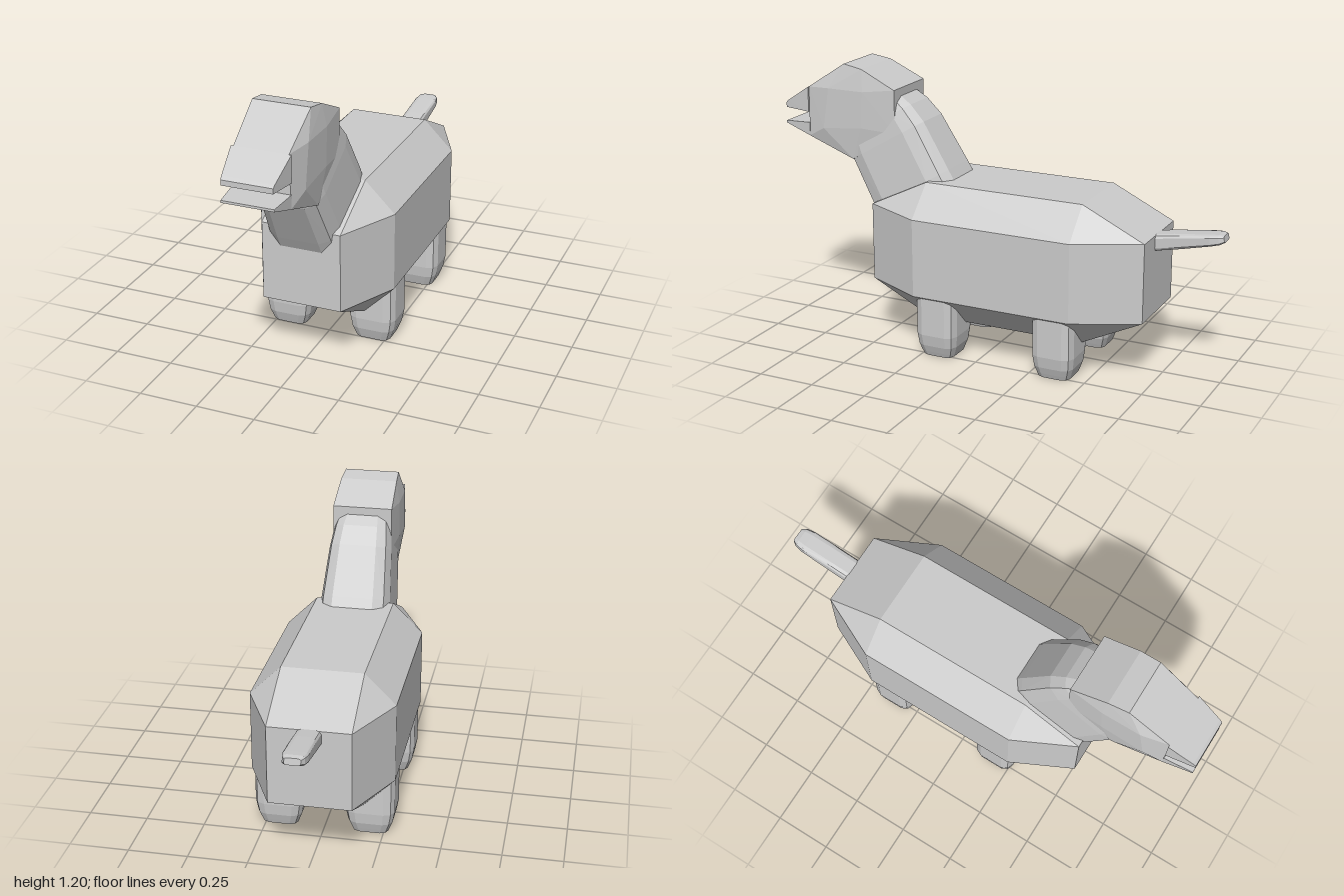
import * as THREE from 'three';
import { ConvexGeometry } from 'three/addons/geometries/ConvexGeometry.js';

const material = new THREE.MeshStandardMaterial({ color: 0xcccccc, flatShading: true });

// Faceted solid around a set of points
function solid(name, points) {
  const mesh = new THREE.Mesh(new ConvexGeometry(points), material);
  mesh.name = name;
  return mesh;
}

// Rounded-square column along y; rings are [y, half width, half depth]
function column(name, rings) {
  const corner = [[1, 0.58], [0.87, 0.87], [0.58, 1]];
  const points = [];
  for (const [y, hx, hz] of rings)
    for (const [cx, cz] of corner)
      for (const sx of [-1, 1])
        for (const sz of [-1, 1])
          points.push(new THREE.Vector3(sx * cx * hx, y, sz * cz * hz));
  return solid(name, points);
}

// Left-right symmetric solid from side points [half width, y, z]
function mirrored(name, side) {
  return solid(name, side.flatMap(([x, y, z]) =>
    [new THREE.Vector3(x, y, z), new THREE.Vector3(-x, y, z)]));
}

export function createModel() {
  const model = new THREE.Group();
  model.name = 'dog';

  // Body: a box with wide chamfers on every edge
  const bodySide = [];
  for (const [z, zEnd] of [[0.27, 0.535], [-0.445, -0.715]]) {
    for (const [y, yOuter] of [[0.61, 0.74], [0.27, 0.14]]) {
      bodySide.push([0.17, yOuter, z], [0.3, y, z], [0.17, y, zEnd]);
    }
  }
  model.add(mirrored('body', bodySide));

  // Four stubby legs
  for (const [end, z] of [['front', 0.18], ['back', -0.36]]) {
    for (const [side, x] of [['Left', 0.192], ['Right', -0.192]]) {
      const leg = column(end + side + 'Leg', [
        [0, 0.075, 0.07], [0.02, 0.083, 0.077], [0.05, 0.094, 0.087],
        [0.1, 0.103, 0.093], [0.36, 0.103, 0.093],
      ]);
      leg.position.set(x, 0, z);
      model.add(leg);
    }
  }

  // Neck leaning forward out of the body
  const neck = column('neck', [
    [-0.38, 0.11, 0.15], [-0.28, 0.153, 0.21], [-0.08, 0.153, 0.208],
    [0.15, 0.138, 0.202], [0.24, 0.128, 0.18], [0.3, 0.115, 0.15],
  ]);
  neck.position.set(0, 0.745, 0.425);
  neck.rotation.x = 0.53;
  model.add(neck);

  // Head: skull, upper snout and lower jaw with an open mouth between
  const head = new THREE.Group();
  head.name = 'head';
  head.add(mirrored('skull', [
    [0.13, 1.11, 0.44], [0.125, 1.185, 0.6], [0.12, 1.2, 0.69],
    [0.112, 1.081, 0.875], [0.118, 0.863, 0.875], [0.128, 0.785, 0.65],
    [0.13, 0.92, 0.44],
    [0.141, 1.09, 0.59], [0.14, 1.09, 0.76], [0.139, 0.91, 0.79], [0.141, 0.93, 0.6],
  ]));
  head.add(mirrored('upperSnout', [
    [0.13, 1.081, 0.875], [0.13, 0.97, 0.875], [0.112, 1.081, 0.875],
    [0.107, 1.008, 0.988], [0.105, 0.997, 1], [0.105, 0.975, 1],
  ].map(([x, y, z]) => [Math.min(x, 0.122), y, z])));
  head.add(mirrored('lowerJaw', [
    [0.12, 0.922, 0.872], [0.118, 0.863, 0.875],
    [0.108, 0.915, 1], [0.108, 0.905, 1],
  ]));
  model.add(head);

  // Tail: a thin rounded stick rising backwards
  const tail = column('tail', [
    [0, 0.05, 0.038], [0.2, 0.05, 0.033], [0.35, 0.05, 0.024],
    [0.385, 0.044, 0.021], [0.405, 0.032, 0.014],
  ]);
  tail.position.set(0, 0.556, -0.6);
  tail.rotation.x = -1.39;
  model.add(tail);

  return model;
}
